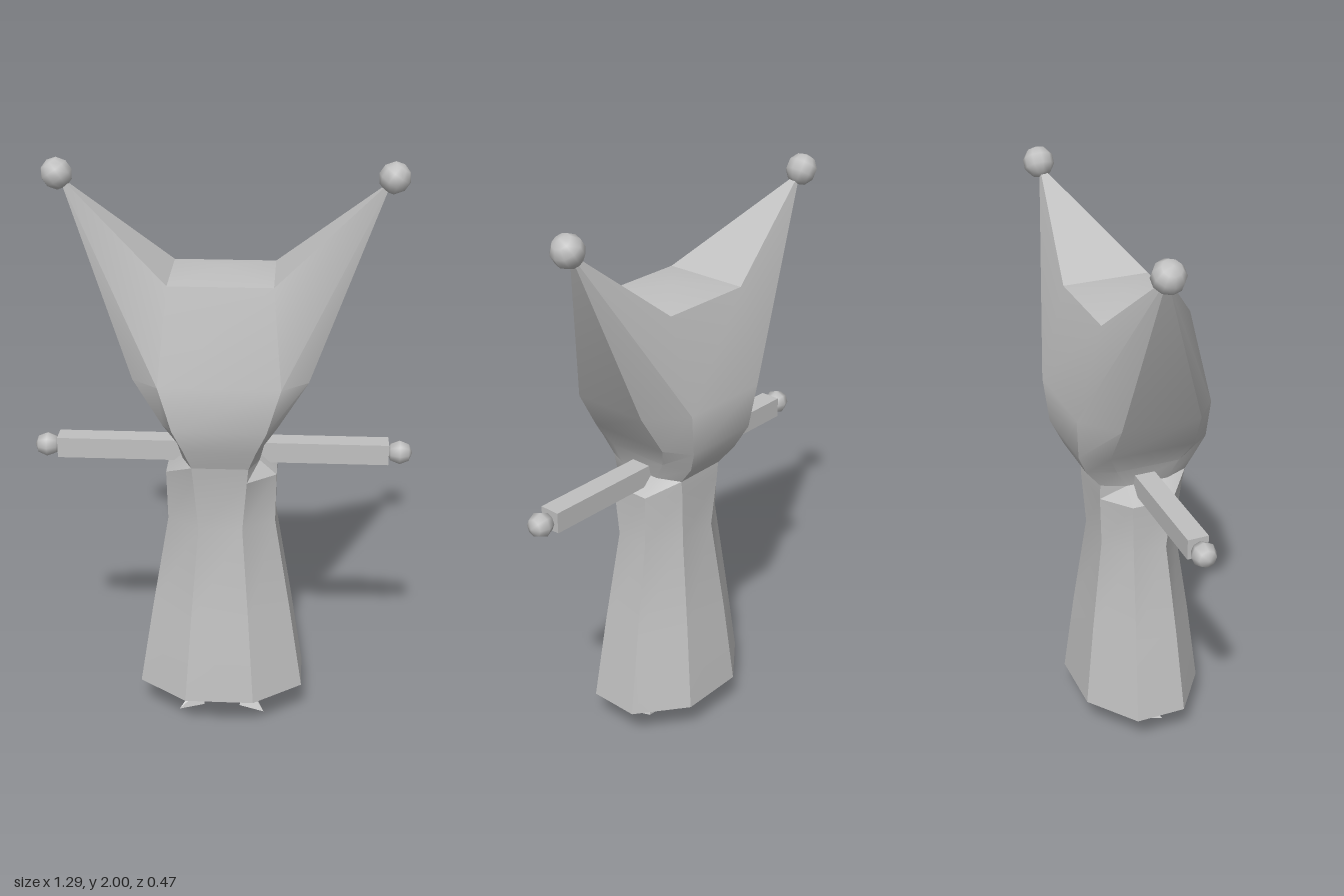
import * as THREE from 'three';
import { toCreasedNormals } from 'three/addons/utils/BufferGeometryUtils.js';

const grey = new THREE.MeshStandardMaterial({ color: 0xc0c0c0 });
grey.name = 'grey';

// Eight-sided ring: front/back half width, side half width, then z of front, side front, side back, back
function ring(y, xf, xs, f, sf, sb, b, xb = xf) {
  return [[xf, y, f], [xs, y, sf], [xs, y, sb], [xb, y, b], [-xb, y, b], [-xs, y, sb], [-xs, y, sf], [-xf, y, f]];
}

// Triangle collector with quads, fans and lofts
class Faces {
  constructor() { this.p = []; }
  tri(a, b, c) { this.p.push(...a, ...b, ...c); }
  quad(a, b, c, d) { this.tri(a, b, c); this.tri(a, c, d); }
  fan(loop, tip) { loop.forEach((a, i) => this.tri(a, loop[(i + 1) % loop.length], tip)); }
  loft(rings) {
    for (let r = 0; r + 1 < rings.length; r++) {
      const lo = rings[r], up = rings[r + 1], n = lo.length;
      for (let i = 0; i < n; i++) {
        const j = (i + 1) % n;
        this.quad(lo[i], lo[j], up[j], up[i]);
      }
    }
  }
  geometry(crease = 0.5) {
    const g = new THREE.BufferGeometry();
    g.setAttribute('position', new THREE.Float32BufferAttribute(this.p, 3));
    g.computeVertexNormals();
    return toCreasedNormals(g, crease);
  }
}

const mirror = (p) => [-p[0], p[1], p[2]];

export function createModel() {
  const group = new THREE.Group();
  const add = (name, geometry, x = 0, y = 0, z = 0) => {
    const mesh = new THREE.Mesh(geometry, grey);
    mesh.name = name;
    mesh.position.set(x, y, z);
    group.add(mesh);
    return mesh;
  };

  const neck = ring(1.03, 0.095, 0.13, 0.18, 0.1, -0.05, -0.13);

  // Flared robe with closed hem and sloping shoulders
  const hem = ring(0.14, 0.12, 0.29, 0.235, 0.11, -0.07, -0.2);
  const robe = new Faces();
  robe.loft([
    hem,
    ring(0.45, 0.1, 0.242, 0.2, 0.095, -0.058, -0.165),
    ring(0.79, 0.075, 0.185, 0.155, 0.075, -0.045, -0.12),
    ring(0.975, 0.09, 0.188, 0.172, 0.095, -0.05, -0.13),
    neck,
  ]);
  robe.fan([...hem].reverse(), [0, 0.14, 0.02]);
  add('robe', robe.geometry());

  // Hood: lofted lower part, then front, back and a shallow pyramid crown
  const brow = ring(1.33, 0.2, 0.288, 0.22, 0.145, -0.13, -0.235, 0.165);
  const [F, S, B, K] = brow;
  const TF = [0.17, 1.65, 0.15], TB = [0.17, 1.65, -0.15];
  const hood = new Faces();
  hood.loft([
    neck,
    ring(1.1, 0.12, 0.145, 0.205, 0.135, -0.09, -0.185, 0.11),
    ring(1.18, 0.155, 0.19, 0.226, 0.17, -0.13, -0.222, 0.14),
    brow,
  ]);
  hood.quad(mirror(F), F, TF, mirror(TF));
  hood.quad(K, mirror(K), mirror(TB), TB);
  hood.fan([mirror(TF), TF, TB, mirror(TB)], [0, 1.675, 0]);

  // Long pointed horns of the hood
  const horn = [F, S, B, K, TB, TF], tip = [0.54, 1.94, -0.095];
  hood.fan(horn, tip);
  hood.fan(horn.map(mirror).reverse(), mirror(tip));
  add('hood', hood.geometry());

  const ball = new THREE.SphereGeometry(0.053, 10, 5);
  const hand = new THREE.SphereGeometry(0.043, 8, 4).rotateZ(Math.PI / 2);
  const arm = new THREE.BoxGeometry(0.5, 0.072, 0.072);
  const leg = new THREE.BoxGeometry(0.03, 0.1, 0.026);

  for (const [side, s] of [['left', 1], ['right', -1]]) {
    add(side + 'HornBall', ball, s * 0.547, 1.947, -0.095).rotation.z = -s * 0.6;
    add(side + 'Arm', arm, s * 0.315, 1.034, 0.013);
    add(side + 'Hand', hand, s * 0.603, 1.032, 0.015);
    add(side + 'Leg', leg, s * 0.09, 0.1, 0.018);

    // Splayed foot tapering up to the ankle
    const m = (loop) => (s > 0 ? loop : loop.map(mirror).reverse());
    const sole = m([[0.065, 0, 0.05], [0.155, 0, 0.085], [0.12, 0, 0], [0.075, 0, -0.003]]);
    const ankle = m([[0.075, 0.055, 0.031], [0.105, 0.055, 0.031], [0.105, 0.055, 0.005], [0.075, 0.055, 0.005]]);
    const foot = new Faces();
    foot.loft([sole, ankle]);
    foot.fan([...sole].reverse(), [s * 0.1, 0, 0.03]);
    foot.fan(ankle, [s * 0.09, 0.055, 0.018]);
    add(side + 'Foot', foot.geometry());
  }
  return group;
}
